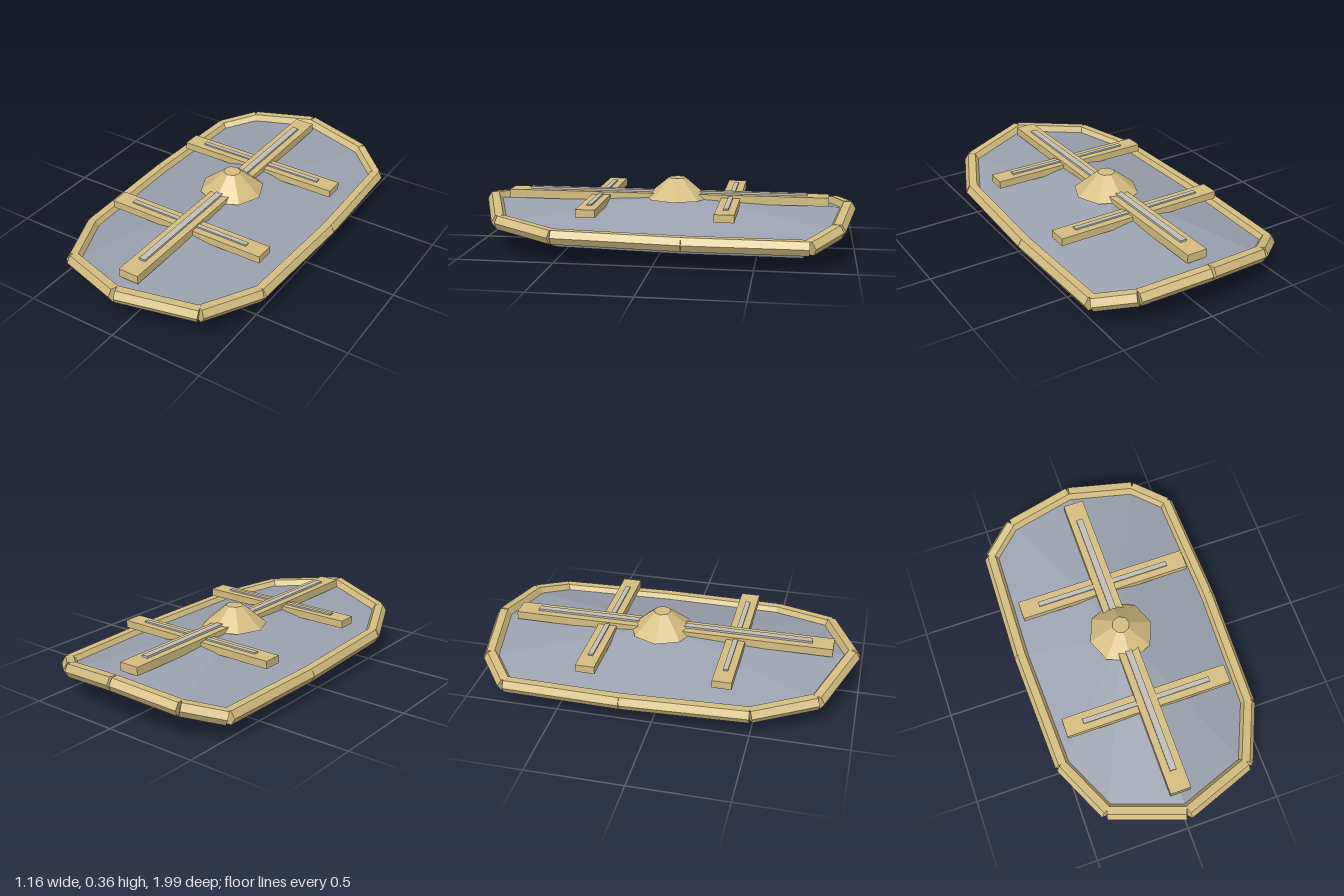
import * as THREE from 'three';

const flat = (name, color) => {
  const m = new THREE.MeshStandardMaterial({ color, flatShading: true });
  m.name = name;
  return m;
};

// Right half of the rim centre line, back to front: x, y, z
const half = [
  [0, 0.22, -0.96], [0.355, 0.175, -0.9], [0.52, 0.128, -0.765], [0.537, 0.132, -0.15],
  [0.515, 0.14, 0.5], [0.375, 0.172, 0.81], [0, 0.22, 0.95],
];

// Closed outline, clockwise seen from above
function outline() {
  const right = half.map((p) => new THREE.Vector3(...p));
  const left = right.slice(1, -1).reverse().map((p) => new THREE.Vector3(-p.x, p.y, p.z));
  return [...right, ...left];
}

// Domed plate: fan above, hollow fan below, bevelled edge between
function plateGeometry(points) {
  const top = new THREE.Vector3(0, 0.27, -0.04);
  const bottom = new THREE.Vector3(0, 0.2, -0.04);
  const lower = points.map((p) => new THREE.Vector3(p.x * 0.95, p.y - 0.058, p.z * 0.96));
  const tris = [];
  points.forEach((a, i) => {
    const j = (i + 1) % points.length;
    const b = points[j], al = lower[i], bl = lower[j];
    tris.push(top, b, a, a, b, bl, a, bl, al, bottom, al, bl);
  });
  const geometry = new THREE.BufferGeometry().setFromPoints(tris);
  geometry.computeVertexNormals();
  return geometry;
}

export function createModel() {
  const gold = flat('pale gold', 0xd4bd80);
  const steel = flat('blue steel', 0x9aa0ae);
  const silver = flat('light inlay', 0xc2bdb5);
  const leather = flat('brown leather', 0x80655a);
  const model = new THREE.Group();
  model.name = 'shield';

  const add = (name, geometry, material, x = 0, y = 0, z = 0, parent = model) => {
    const mesh = new THREE.Mesh(geometry, material);
    mesh.name = name;
    mesh.position.set(x, y, z);
    parent.add(mesh);
    return mesh;
  };
  const box = (name, material, w, h, d, x, y, z, parent) =>
    add(name, new THREE.BoxGeometry(w, h, d), material, x, y, z, parent);

  const points = outline();
  add('plate', plateGeometry(points), steel);

  // Rim: straight hexagonal bars, one per outline edge
  const rim = new THREE.Group();
  rim.name = 'rim';
  model.add(rim);
  points.forEach((a, i) => {
    const b = points[(i + 1) % points.length];
    const dir = b.clone().sub(a);
    const length = dir.length();
    dir.normalize();
    const side = new THREE.Vector3().crossVectors(dir, new THREE.Vector3(0, 1, 0)).normalize();
    const up = new THREE.Vector3().crossVectors(dir, side);
    const mid = a.clone().add(b).multiplyScalar(0.5);
    const bar = add('rimBar', new THREE.CylinderGeometry(0.041, 0.041, length, 6), gold, mid.x, mid.y, mid.z, rim);
    bar.quaternion.setFromRotationMatrix(new THREE.Matrix4().makeBasis(up, dir, side));
  });

  // Raised cross bars with inlaid strips
  box('spine', gold, 0.11, 0.045, 1.71, 0, 0.2575, -0.005);
  box('spineInlay', silver, 0.035, 0.02, 1.49, 0, 0.281, -0.005);
  for (const [z, w, inlay] of [[-0.35, 0.93, 0.73], [0.345, 0.895, 0.695]]) {
    box('crossBar', gold, w, 0.04, 0.1, 0, 0.245, z);
    box('crossBarInlay', silver, inlay, 0.016, 0.026, 0, 0.265, z);
  }

  // Faceted centre boss
  add('boss', new THREE.CylinderGeometry(0.046, 0.172, 0.105, 8), gold, 0, 0.3075, -0.06);

  // Hand grip and forearm strap underneath
  const grip = new THREE.Group();
  grip.name = 'grip';
  model.add(grip);
  const handle = add('gripBar', new THREE.CylinderGeometry(0.025, 0.025, 0.24, 8), leather, 0, 0.04, 0, grip);
  handle.rotation.z = Math.PI / 2;
  for (const s of [-1, 1]) box('gripPost', leather, 0.036, 0.088, 0.05, s * 0.116, 0.084, 0, grip);
  box('armStrap', leather, 0.23, 0.036, 0.08, 0, 0.018, 0.32);

  return model;
}
